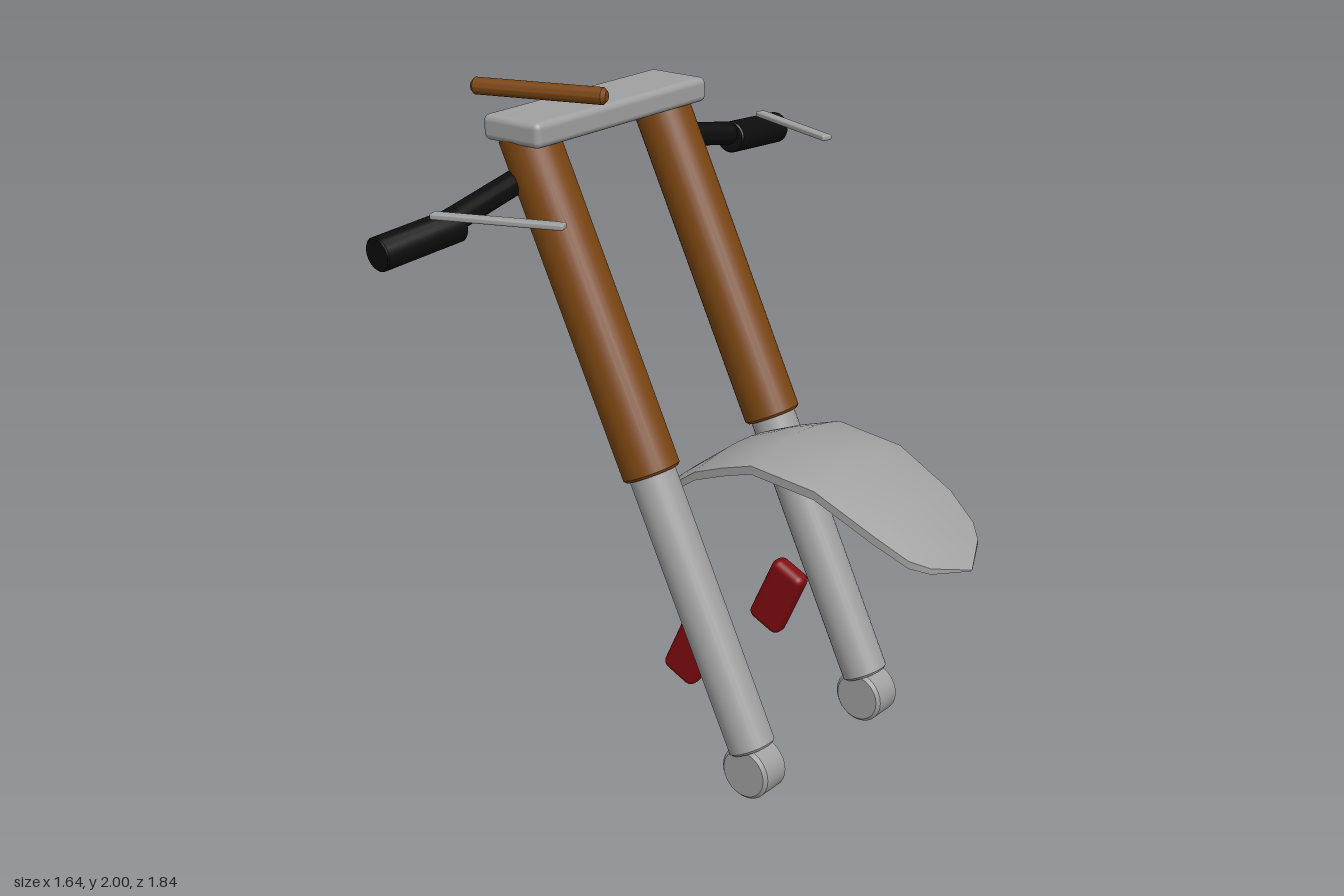
import * as THREE from 'three';
import { toCreasedNormals } from 'three/addons/utils/BufferGeometryUtils.js';
import { RoundedBoxGeometry } from 'three/addons/geometries/RoundedBoxGeometry.js';

const mat = (name, color, side = THREE.FrontSide) => {
  const m = new THREE.MeshStandardMaterial({ color, side });
  m.name = name;
  return m;
};

// Cylinder with chamfered rims running from point a to point b
function rod(name, a, b, r, bevel, material) {
  const from = new THREE.Vector3(...a), dir = new THREE.Vector3(...b).sub(from);
  const len = dir.length();
  const profile = [[0, 0], [r - bevel, 0], [r, bevel], [r, len - bevel], [r - bevel, len], [0, len]]
    .map(([x, y]) => new THREE.Vector2(x, y));
  const mesh = new THREE.Mesh(toCreasedNormals(new THREE.LatheGeometry(profile, 28), 0.5), material);
  mesh.name = name;
  mesh.position.copy(from);
  mesh.quaternion.setFromUnitVectors(new THREE.Vector3(0, 1, 0), dir.normalize());
  return mesh;
}

function box(name, size, radius, pos, material) {
  const mesh = new THREE.Mesh(new RoundedBoxGeometry(...size, 3, radius), material);
  mesh.name = name;
  mesh.position.set(...pos);
  return mesh;
}

// Thin crowned shell: each station is [x, crest height, half width]
function fenderGeometry() {
  const stations = [
    [-0.315, 0.725, 0.004], [-0.25, 0.775, 0.16], [-0.13, 0.87, 0.2], [0, 0.965, 0.218],
    [0.1, 1.005, 0.222], [0.21, 1.04, 0.223], [0.43, 1.015, 0.22], [0.62, 0.92, 0.203],
    [0.72, 0.85, 0.17], [0.765, 0.815, 0.125], [0.822, 0.773, 0.004],
  ];
  const n = 8, ring = 2 * (n + 1), pos = [], index = [];
  stations.forEach(([x, y, w], i) => {
    const thick = 0.004 + 0.022 * Math.min(1, w / 0.2);
    for (let j = 0; j < ring; j++) {
      const under = j > n;
      const z = w * ((under ? ring - 1 - j : j) / n * 2 - 1);
      pos.push(x, y - 0.03 * (z / 0.22) ** 2 - (under ? thick : 0), z);
      if (i < stations.length - 1) {
        const a = i * ring + j, c = i * ring + (j + 1) % ring;
        index.push(a, c, a + ring, c, c + ring, a + ring);
      }
    }
  });
  const g = new THREE.BufferGeometry();
  g.setAttribute('position', new THREE.Float32BufferAttribute(pos, 3));
  g.setIndex(index);
  return toCreasedNormals(g, 0.7);
}

export function createModel() {
  const model = new THREE.Group();
  model.name = 'forkAssembly';
  const brown = mat('brown', 0x7a4511);
  const grey = mat('metalGrey', 0xa0a0a0);
  const shell = mat('fenderGrey', 0xa0a0a0, THREE.DoubleSide);
  const black = mat('black', 0x0d0d0d);
  const red = mat('red', 0x800b0f);

  // Mirrored parts on each side
  for (const s of [1, -1]) {
    const side = new THREE.Group();
    side.name = s > 0 ? 'leftSide' : 'rightSide';
    const z = 0.297 * s;
    side.add(
      rod('upperTube', [-0.095, 0.933, z], [-0.546, 1.893, z], 0.088, 0.008, brown),
      rod('lowerTube', [0.275, 0.145, z], [-0.13, 1.008, z], 0.071, 0.008, grey),
      rod('axleClamp', [0.28, 0.083, 0.243 * s], [0.28, 0.083, 0.35 * s], 0.083, 0.01, grey),
      rod('handlebar', [-0.552, 1.758, 0.3 * s], [-0.522, 1.695, 0.69 * s], 0.037, 0.003, black),
      rod('grip', [-0.515, 1.693, 0.628 * s], [-0.543, 1.667, 0.912 * s], 0.05, 0.004, black),
    );

    // Hand lever
    const lever = box('lever', [0.39, 0.018, 0.035], 0.006, [-0.306, 1.752, 0.683 * s], grey);
    lever.rotation.y = s * 0.36;
    side.add(lever);

    // Brake caliper tucked behind the lower tube
    const caliper = box('caliper', [0.125, 0.245, 0.064], 0.025, [-0.008, 0.366, 0.217 * s], red);
    caliper.rotation.z = -0.44;
    side.add(caliper);
    model.add(side);
  }

  // Top clamp and the small bar lying on it
  model.add(box('topClamp', [0.216, 0.076, 0.776], 0.02, [-0.527, 1.907, 0], grey));
  model.add(rod('topBar', [-0.818, 1.975, 0.231], [-0.405, 1.975, 0.102], 0.026, 0.011, brown));

  // Front fender
  const fender = new THREE.Mesh(fenderGeometry(), shell);
  fender.name = 'fender';
  model.add(fender);
  return model;
}
